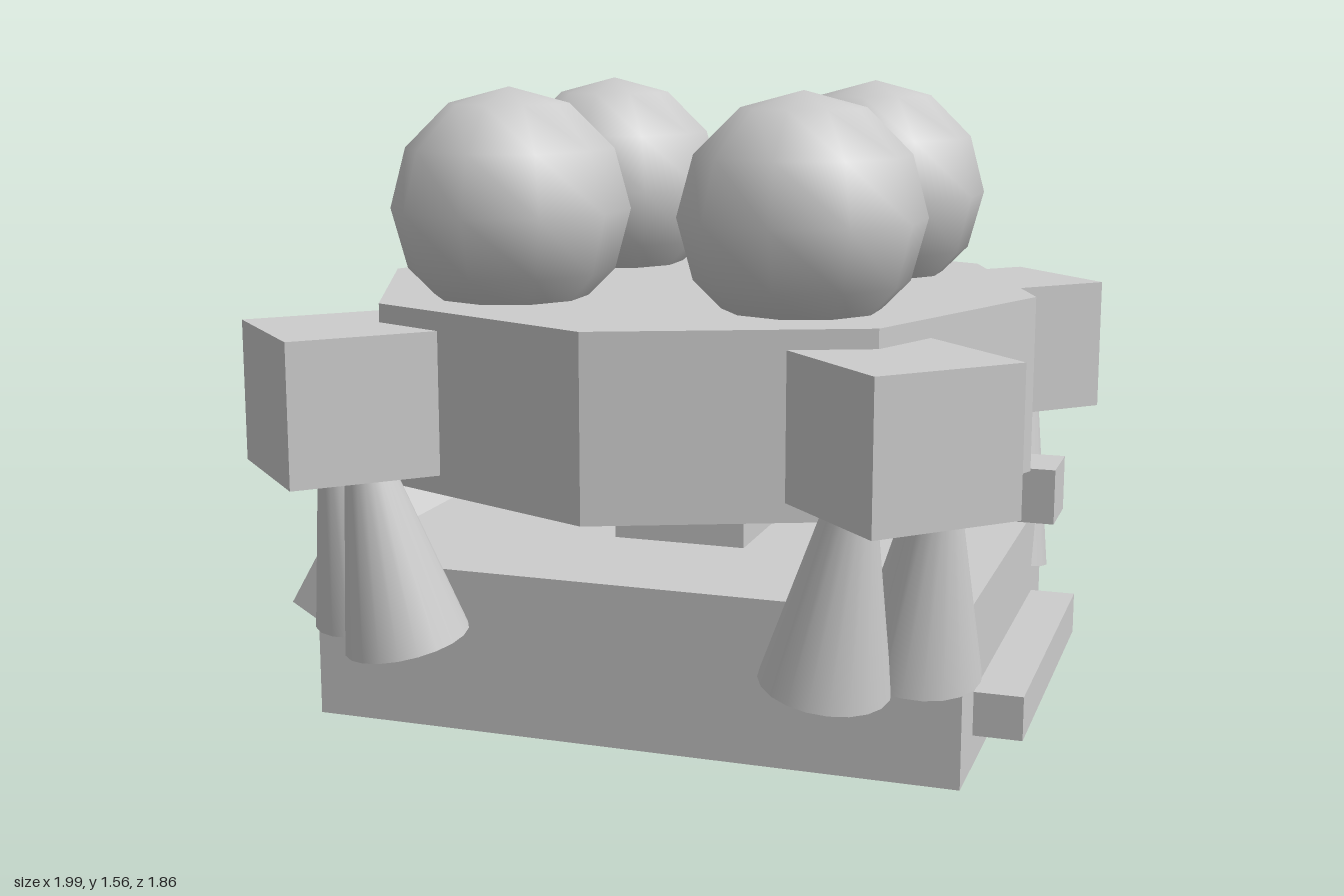
import * as THREE from 'three';

export function createModel() {
  const model = new THREE.Group();
  const grey = new THREE.MeshStandardMaterial({ color: 0xcccccc, side: THREE.DoubleSide });
  grey.name = 'light grey';
  const cx = 0.06; // axis of the upper stage

  function add(name, geometry, x, y, z) {
    const mesh = new THREE.Mesh(geometry, grey);
    mesh.name = name;
    mesh.position.set(x, y, z);
    model.add(mesh);
    return mesh;
  }
  const box = (name, w, h, d, x, y, z) => add(name, new THREE.BoxGeometry(w, h, d), x, y, z);

  // Lower cabin with a slanted hatch block and a side rail
  box('cabin', 1.6, 0.4, 1.16, 0.06, 0.22, 0);
  box('hatchBlock', 0.363, 0.363, 0.5, -0.753, 0.252, 0).rotation.z = -Math.PI / 6;
  box('sideRail', 0.15, 0.105, 0.865, 0.9, 0.15, 0);

  // Roof box with its long pipe
  box('pipeBox', 0.2, 0.145, 0.18, 0.83, 0.4925, -0.4);
  add('pipe', new THREE.CylinderGeometry(0.038, 0.038, 1.28, 16), 0.16, 0.4925, -0.4).rotation.z = Math.PI / 2;

  // Neck and octagonal deck
  box('neck', 0.34, 0.23, 0.34, cx, 0.525, 0);
  const deck = new THREE.CylinderGeometry(0.85, 0.85, 0.43, 8).toNonIndexed();
  deck.computeVertexNormals();
  add('deck', deck, cx, 0.845, 0);

  // Open nozzle running between two points
  function nozzle(top, base) {
    const axis = top.clone().sub(base);
    const mid = top.clone().add(base).multiplyScalar(0.5);
    const geo = new THREE.CylinderGeometry(0.057, 0.15, axis.length(), 20, 1, true);
    const mesh = add('nozzle', geo, mid.x, mid.y, mid.z);
    mesh.quaternion.setFromUnitVectors(new THREE.Vector3(0, 1, 0), axis.normalize());
  }

  // Four quadrants: tank, thruster housing and a pair of nozzles
  for (const sx of [-1, 1]) {
    for (const sz of [-1, 1]) {
      const tank = add('tank', new THREE.SphereGeometry(0.29, 10, 6), cx + sx * 0.363, 1.27, sz * 0.363);
      tank.rotation.y = Math.PI / 2;
      box('thrusterHousing', 0.372, 0.34, 0.372, cx + sx * 0.667, 0.845, sz * 0.667).rotation.y = Math.PI / 4;
      for (const swap of [false, true]) {
        const place = (a, b, y) => new THREE.Vector3(cx + sx * (swap ? b : a), y, sz * (swap ? a : b));
        nozzle(place(0.727, 0.575, 0.69), place(0.68, 0.51, 0.272));
      }
    }
  }
  return model;
}
